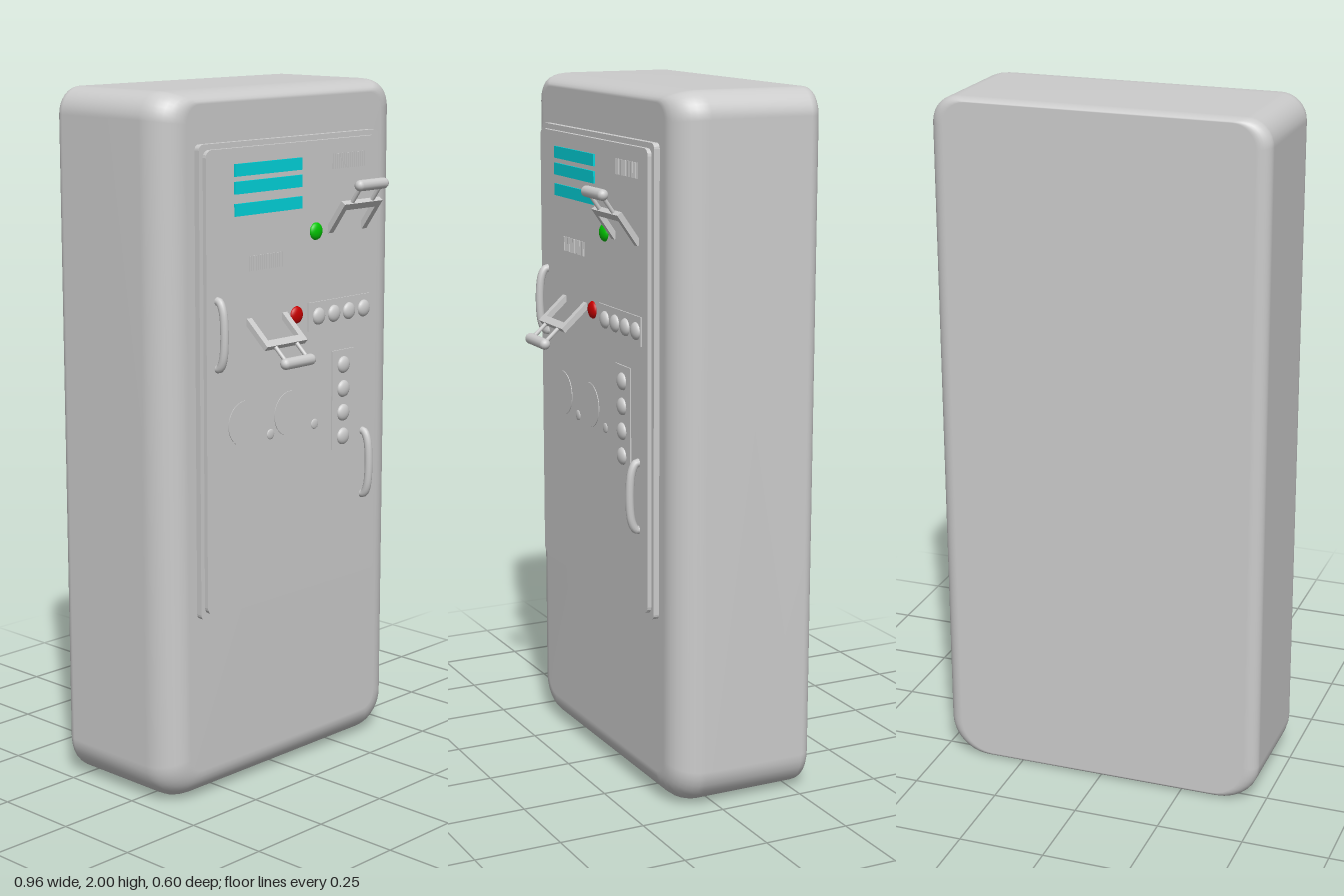
import * as THREE from 'three';

const FACE = 0.164; // z of the door surface
const grey = new THREE.MeshStandardMaterial({ color: 0xcccccc });
const tint = (color) => new THREE.MeshStandardMaterial({ color });

function add(parent, name, geometry, x = 0, y = 0, z = 0, material = grey) {
  const mesh = new THREE.Mesh(geometry, material);
  mesh.name = name;
  mesh.position.set(x, y, z);
  parent.add(mesh);
  return mesh;
}

// Box given by its front rectangle and depth range
function plate(parent, name, x0, x1, y0, y1, z0, z1, material) {
  return add(parent, name, new THREE.BoxGeometry(x1 - x0, y1 - y0, z1 - z0),
    (x0 + x1) / 2, (y0 + y1) / 2, (z0 + z1) / 2, material);
}

// Rounded rectangle loop, counter-clockwise, with separate bottom and top radii
function roundedLoop(w, y0, y1, rBottom, rTop, steps) {
  const corners = [[w, y0, rBottom, -1, 1], [w, y1, rTop, -1, -1], [-w, y1, rTop, 1, -1], [-w, y0, rBottom, 1, 1]];
  const points = [];
  corners.forEach(([x, y, r, sx, sy], c) => {
    for (let i = 0; i <= steps; i++) {
      const a = (c - 1 + i / steps) * Math.PI / 2;
      points.push(new THREE.Vector2(x + sx * r + r * Math.cos(a), y + sy * r + r * Math.sin(a)));
    }
  });
  return points;
}

// Cabinet shell: loops from back to front, softly rounded more at the front
function cabinetGeometry() {
  const rings = [];
  const ring = (z, side, top, bottom) => rings.push({ z, side, top, bottom });
  const N = 8;
  for (let i = 0; i <= N; i++) {
    const a = i / N * Math.PI / 2, k = 1 - Math.sin(a);
    ring(-0.3 + 0.035 * (1 - Math.cos(a)), 0.04 * k, 0.012 * k, 0.015 * k);
  }
  for (let i = 0; i <= N; i++) {
    const a = i / N * Math.PI / 2, k = 1 - Math.cos(a);
    ring(0.04 + 0.095 * Math.sin(a), 0.085 * k, 0.035 * k, 0.085 * k);
  }
  const positions = [], index = [];
  let n = 0;
  for (const { z, side, top, bottom } of rings) {
    const loop = roundedLoop(0.48 - side, bottom, 2 - top,
      0.11 - bottom * 0.7, 0.075 - top * 0.7, N);
    n = loop.length;
    loop.forEach((p) => positions.push(p.x, p.y, z));
  }
  const last = (rings.length - 1) * n;
  const back = rings.length * n, front = back + 1;
  positions.push(0, 1, rings[0].z, 0, 1, rings[rings.length - 1].z);
  for (let j = 0; j < n; j++) {
    const q = (j + 1) % n;
    for (let k = 0; k < last; k += n) {
      index.push(k + j, k + q, k + n + q, k + j, k + n + q, k + n + j);
    }
    index.push(back, q, j, front, last + j, last + q);
  }
  const g = new THREE.BufferGeometry();
  g.setAttribute('position', new THREE.Float32BufferAttribute(positions, 3));
  g.setIndex(index);
  g.computeVertexNormals();
  return g;
}

function roundedPanel(parent, name, w, y0, y1, r, z0, z1) {
  const shape = new THREE.Shape(roundedLoop(w, y0, y1, r, r, 4));
  add(parent, name, new THREE.ExtrudeGeometry(shape, { depth: z1 - z0, bevelEnabled: false }), 0, 0, z0);
}

// Flattened dome facing the front
function dome(parent, name, x, y, r, height, material, z = FACE) {
  const g = new THREE.SphereGeometry(r, 20, 8, 0, Math.PI * 2, 0, Math.PI / 2);
  g.rotateX(Math.PI / 2).scale(1, 1, height / r);
  add(parent, name, g, x, y, z, material);
}

function disc(parent, name, x, y, r, height, z = FACE) {
  const g = new THREE.CylinderGeometry(r, r, height, 32).rotateX(Math.PI / 2);
  add(parent, name, g, x, y, z + height / 2);
}

// Bowed pull handle
function handle(parent, name, x, y0, y1) {
  const z = FACE + 0.022;
  const path = new THREE.CatmullRomCurve3([
    [y0 + 0.014, FACE - 0.006], [y0 + 0.016, FACE + 0.008], [y0 + 0.045, z],
    [y1 - 0.045, z], [y1 - 0.016, FACE + 0.008], [y1 - 0.014, FACE - 0.006],
  ].map(([y, pz]) => new THREE.Vector3(x, y, pz)));
  add(parent, name, new THREE.TubeGeometry(path, 32, 0.012, 12));
}

// U-shaped bracket with two rods and a round grip, tilted about x
function lever(parent, name, x, y, tilt) {
  const g = new THREE.Group();
  g.name = name;
  g.position.set(x, y, FACE);
  g.rotation.x = tilt;
  for (const s of [-1, 1]) {
    plate(g, 'leverArm', s * 0.072 - 0.01, s * 0.072 + 0.01, -0.008, 0.008, -0.005, 0.1);
    add(g, 'leverRod', new THREE.CylinderGeometry(0.006, 0.006, 0.07, 10).rotateX(Math.PI / 2), s * 0.043, 0, 0.125);
  }
  plate(g, 'leverCrossbar', -0.082, 0.082, -0.008, 0.008, 0.078, 0.1);
  add(g, 'leverGrip', new THREE.CapsuleGeometry(0.016, 0.1, 5, 14).rotateZ(Math.PI / 2), 0, 0, 0.16);
  parent.add(g);
}

// Small grille of upright slats
function grille(parent, x0, x1, y0, y1) {
  const g = new THREE.Group();
  g.name = 'grille';
  plate(g, 'grilleBack', x0, x1, y0, y1, FACE - 0.003, FACE + 0.001);
  const count = 16, step = (x1 - x0) / count;
  for (let i = 0; i < count; i++) {
    const x = x0 + (i + 0.25) * step;
    plate(g, 'grilleSlat', x, x + step / 2, y0, y1, FACE, FACE + 0.003);
  }
  parent.add(g);
}

export function createModel() {
  const model = new THREE.Group();
  model.name = 'controlCabinet';
  add(model, 'cabinetBody', cabinetGeometry());

  // Door in two steps
  roundedPanel(model, 'doorFrame', 0.367, 0.54, 1.86, 0.015, 0.125, 0.152);
  roundedPanel(model, 'doorPanel', 0.353, 0.555, 1.845, 0.02, 0.15, FACE);

  // Light strips
  const cyan = tint(0x00d5dc);
  for (const y of [1.785, 1.737, 1.677]) {
    plate(model, 'lightStrip', -0.245, 0.023, y - 0.017, y + 0.017, FACE - 0.004, FACE + 0.005, cyan);
  }

  grille(model, 0.155, 0.295, 1.76, 1.803);
  grille(model, -0.19, -0.05, 1.505, 1.546);

  // Indicator lamps
  dome(model, 'greenLamp', 0.085, 1.59, 0.025, 0.013, tint(0x00c800));
  dome(model, 'redLamp', 0.005, 1.36, 0.025, 0.012, tint(0xc80000));

  // Button rows
  plate(model, 'buttonPlateWide', 0.052, 0.318, 1.306, 1.388, FACE - 0.004, FACE + 0.004);
  plate(model, 'buttonPlateTall', 0.157, 0.252, 0.942, 1.235, FACE - 0.004, FACE + 0.004);
  for (let i = 0; i < 4; i++) {
    dome(model, 'button', 0.095 + i * 0.065, 1.346, 0.025, 0.013, grey, FACE + 0.004);
    dome(model, 'button', 0.204, 0.977 + i * 0.071, 0.025, 0.013, grey, FACE + 0.004);
  }

  // Round dials with a stud beside each
  for (const x of [-0.205, -0.02]) {
    disc(model, 'dial', x, 1.08, 0.065, 0.002);
    dome(model, 'stud', x + 0.105, 1.032, 0.015, 0.004);
  }

  lever(model, 'lowerLever', -0.116, 1.365, 0.73);
  lever(model, 'upperLever', 0.218, 1.588, -0.955);

  handle(model, 'upperHandle', -0.311, 1.235, 1.45);
  handle(model, 'lowerHandle', 0.296, 0.772, 0.992);
  return model;
}
